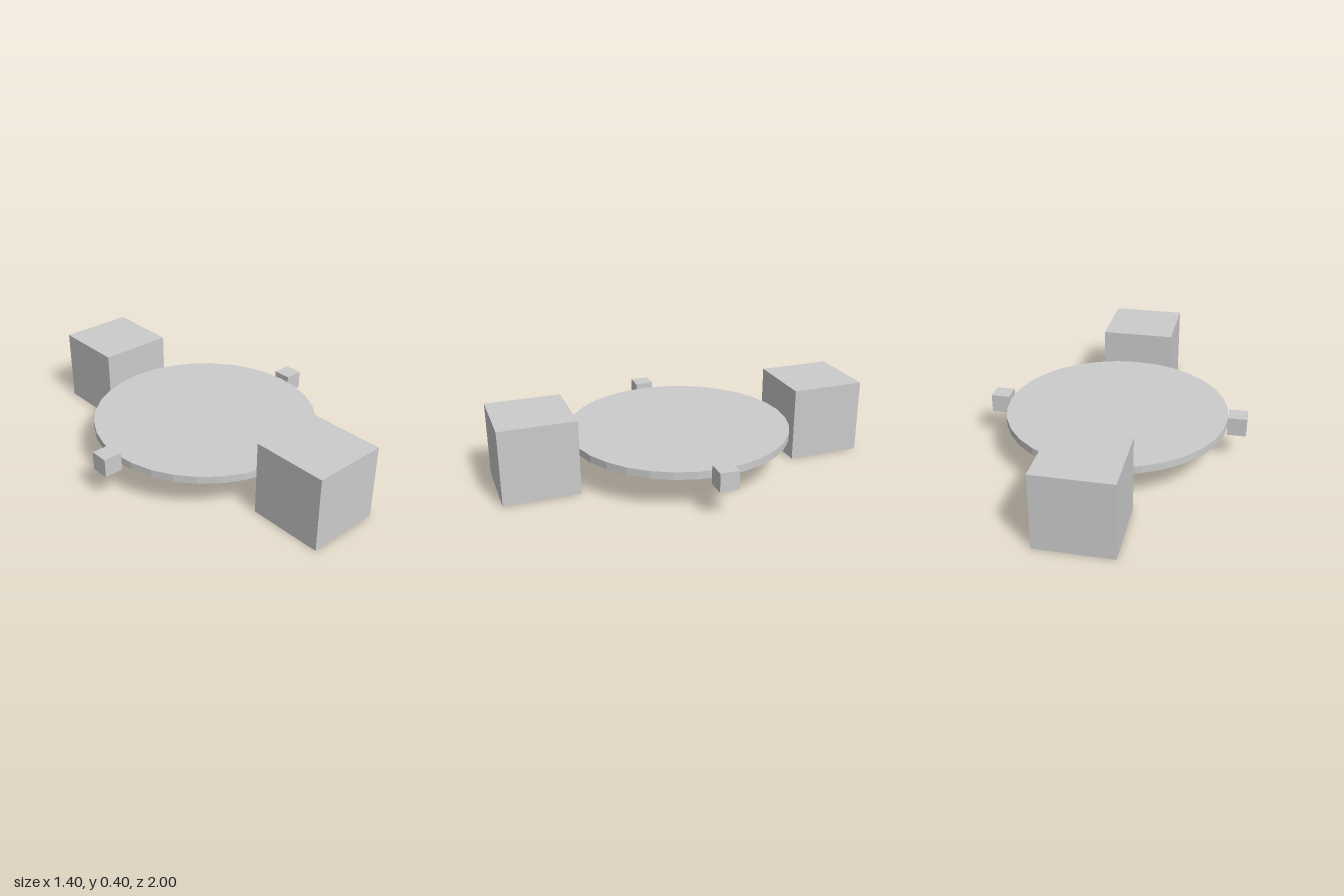
import * as THREE from 'three';

export function createModel() {
  const model = new THREE.Group();
  const material = new THREE.MeshStandardMaterial({ color: 0xcccccc, flatShading: true });
  const midHeight = 0.2;

  const addPart = (name, geometry, x, z) => {
    const mesh = new THREE.Mesh(geometry, material);
    mesh.name = name;
    mesh.position.set(x, midHeight, z);
    model.add(mesh);
  };

  // Thin round plate in the middle
  addPart('disc', new THREE.CylinderGeometry(0.6, 0.6, 0.04, 32), 0, 0);

  // Large blocks at front and back, small blocks at the sides, all touching the rim
  const largeBlock = new THREE.BoxGeometry(0.4, 0.4, 0.4);
  const smallBlock = new THREE.BoxGeometry(0.1, 0.1, 0.1);
  for (const side of [1, -1]) {
    addPart(side > 0 ? 'frontBlock' : 'backBlock', largeBlock, 0, side * 0.8);
    addPart(side > 0 ? 'leftSmallBlock' : 'rightSmallBlock', smallBlock, side * 0.65, 0);
  }

  return model;
}
